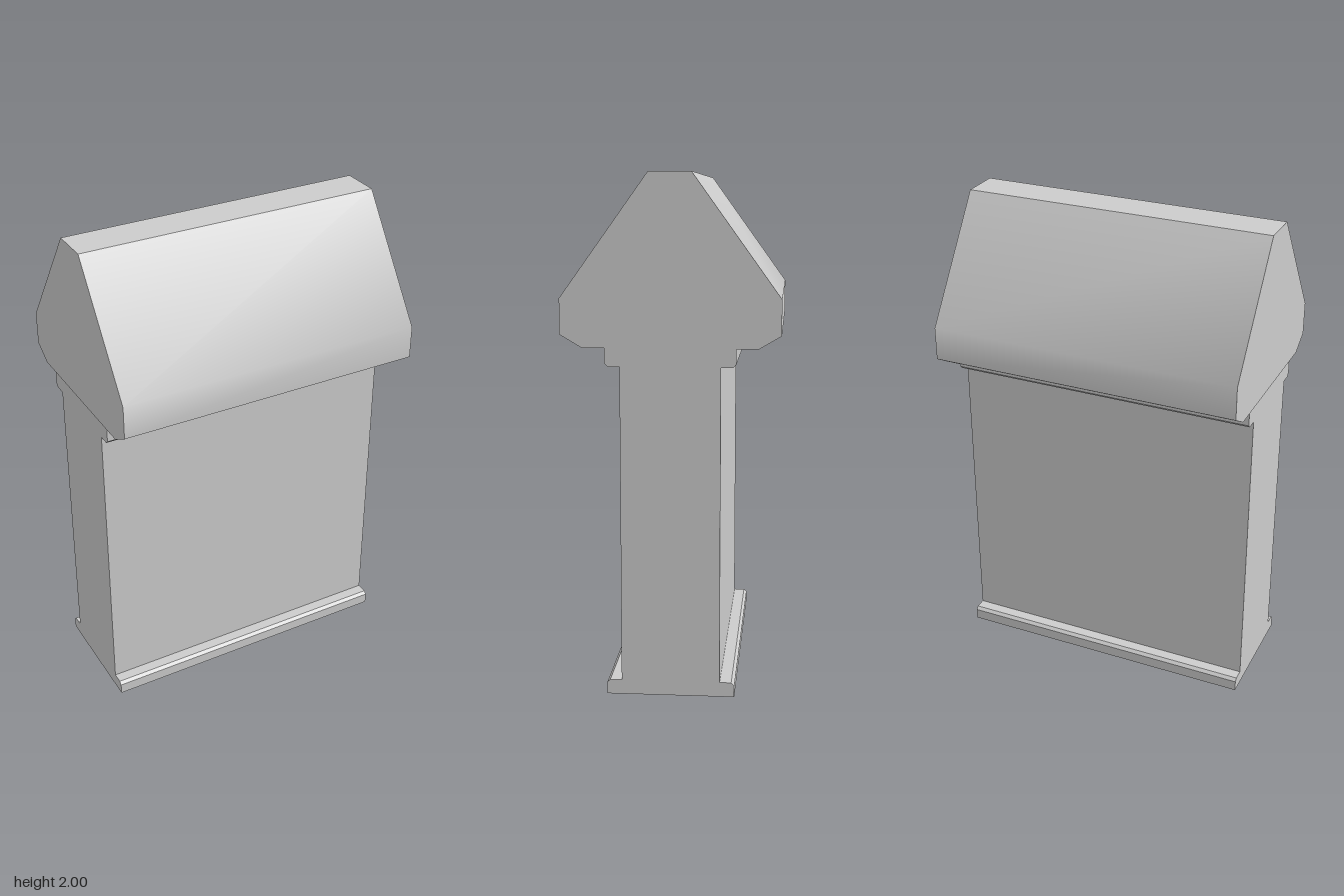
import * as THREE from 'three';
import { toCreasedNormals } from 'three/addons/utils/BufferGeometryUtils.js';

const material = new THREE.MeshStandardMaterial({ color: 0xcccccc });

// Mirrors a half profile of [z, y] points, listed bottom to top, and runs it along x.
function moulding(name, halfProfile, length) {
  const mirrored = halfProfile.map(([z, y]) => [-z, y]).reverse();
  const outline = [...halfProfile, ...mirrored].map(([z, y]) => new THREE.Vector2(z, y));
  const geometry = new THREE.ExtrudeGeometry(new THREE.Shape(outline), {
    depth: length, bevelEnabled: false, steps: 1,
  });
  geometry.translate(0, 0, -length / 2);
  geometry.rotateY(Math.PI / 2);
  // Softens only the shallow bend at the eaves; all other edges stay sharp.
  const mesh = new THREE.Mesh(toCreasedNormals(geometry, 0.68), material);
  mesh.name = name;
  return mesh;
}

export function createModel() {
  const model = new THREE.Group();
  model.name = 'wallSection';

  // Wall with chamfered foot and chamfered band below the coping
  model.add(moulding('wall', [
    [0.247, 0], [0.247, 0.045], [0.235, 0.057], [0.19, 0.057],
    [0.19, 1.28], [0.235, 1.28], [0.247, 1.292], [0.247, 1.35],
  ], 1.26));

  // Sloped coping with flat ridge and chamfered underside
  model.add(moulding('coping', [
    [0.33, 1.35], [0.415, 1.4], [0.415, 1.535], [0.08, 2],
  ], 1.266));

  return model;
}
